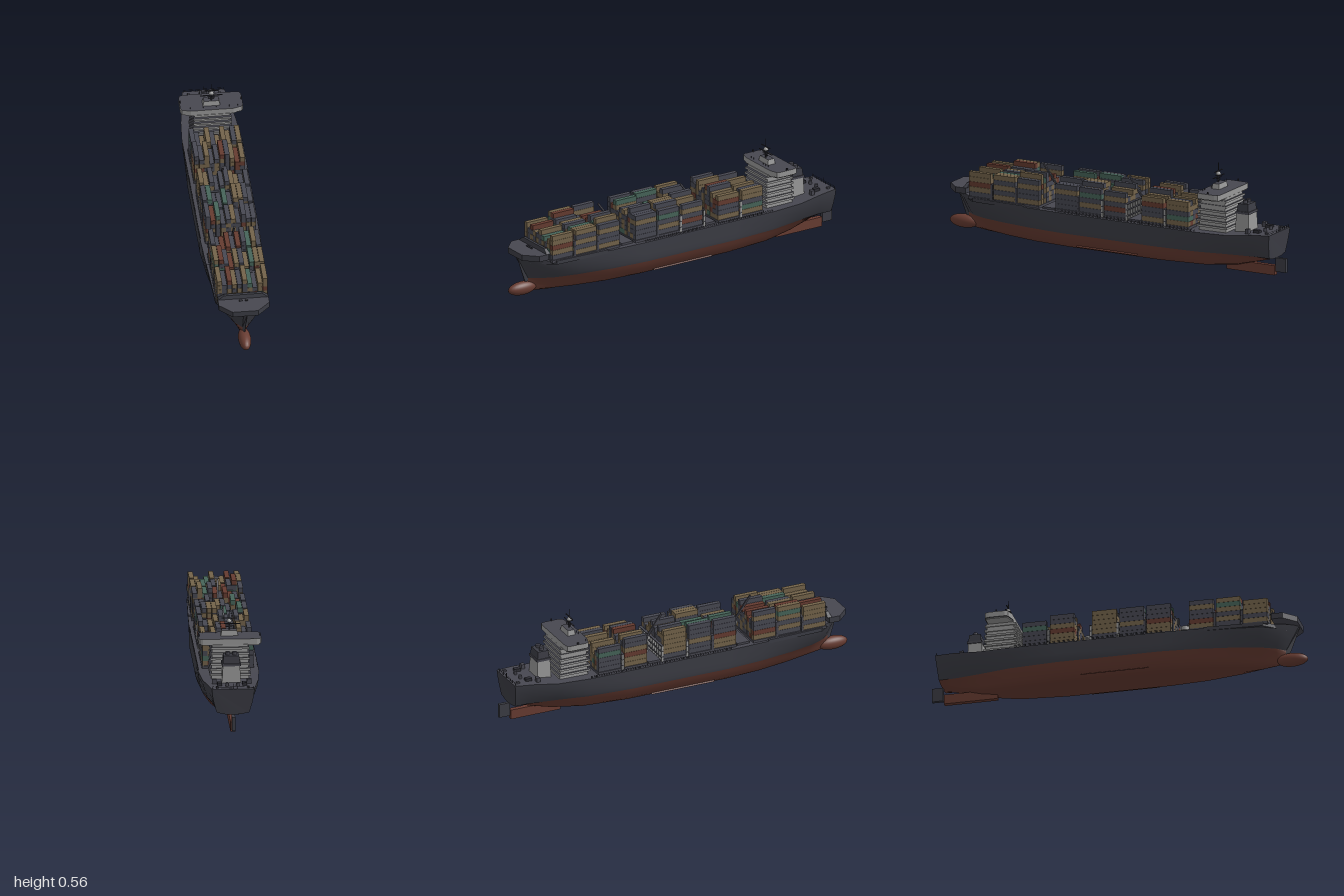
import * as THREE from 'three';
import { mergeGeometries } from 'three/addons/utils/BufferGeometryUtils.js';

const mat = (name, color, side = THREE.FrontSide) => {
  const m = new THREE.MeshStandardMaterial({ color, side });
  m.name = name;
  return m;
};

export function createModel() {
  const ship = new THREE.Group();
  ship.name = 'containerShip';
  const hullDark = mat('hullSlate', 0x3c3d45, THREE.DoubleSide);
  const hullRed = mat('antifoulingRed', 0x683c32, THREE.DoubleSide);
  const deckMat = mat('deckGrey', 0x474750);
  const white = mat('superstructureGrey', 0x989898);
  const black = mat('fittingBlack', 0x2e2e35);
  const cargo = { T: mat('cargoTan', 0x73634a), S: mat('cargoSlate', 0x474852),
    R: mat('cargoRust', 0x653b30), G: mat('cargoGreen', 0x466459) };
  // Box faces: grey walls with a dark top
  const roofed = [white, white, deckMat, white, white, white];

  const add = (name, geo, m, x = 0, y = 0, z = 0, parent = ship) => {
    const mesh = new THREE.Mesh(geo, m);
    mesh.name = name;
    mesh.position.set(x, y, z);
    parent.add(mesh);
    return mesh;
  };
  // Box given by its height range and its z range
  const block = (name, m, halfW, y0, y1, z0, z1, x = 0) =>
    add(name, new THREE.BoxGeometry(halfW * 2, y1 - y0, z1 - z0), m, x, (y0 + y1) / 2, (z0 + z1) / 2);
  // Box whose top is scaled inwards
  const taper = (name, m, halfW, y0, y1, z0, z1, sx, sz) => {
    const mesh = block(name, m, halfW, y0, y1, z0, z1);
    const p = mesh.geometry.attributes.position;
    for (let i = 0; i < p.count; i++) if (p.getY(i) > 0) p.setXYZ(i, p.getX(i) * sx, p.getY(i), p.getZ(i) * sz);
    mesh.geometry.computeVertexNormals();
    return mesh;
  };
  // Plan outline (half, mirrored in x) raised to a slab
  const slab = (name, mats, half, y0, y1) => {
    const pts = [...half, ...half.map(([x, z]) => [-x, z]).reverse()];
    const shape = new THREE.Shape(pts.map(([x, z]) => new THREE.Vector2(x, -z)));
    const geo = new THREE.ExtrudeGeometry(shape, { depth: y1 - y0, bevelEnabled: false });
    return add(name, geo.rotateX(-Math.PI / 2), mats, 0, y0, 0);
  };

  // Hull stations: z, top fullness, bottom fullness, keel height, deck height, rake
  const stations = [
    [-0.945, 0.70, 0.40, 0.094, 0.234, -0.013], [-0.86, 0.80, 0.32, 0.068, 0.230, 0],
    [-0.72, 0.92, 0.48, 0.030, 0.215, 0], [-0.55, 1, 0.80, 0.012, 0.213, 0],
    [-0.30, 1, 1, 0.008, 0.213, 0], [0.25, 1, 1, 0.008, 0.213, 0],
    [0.45, 0.96, 0.84, 0.008, 0.213, 0], [0.63, 0.90, 0.55, 0.012, 0.213, 0],
    [0.76, 0.80, 0.28, 0.018, 0.214, 0.02], [0.84, 0.50, 0.10, 0.026, 0.226, 0.045],
    [0.885, 0.06, 0.04, 0.034, 0.238, 0.07]];
  const wl = 0.105;
  const lower = [[0.154, wl], [0.146, 0.085], [0.134, 0.062], [0.118, 0.04], [0.092, 0.02], [0.02, 0.009], [0, 0.008]];
  const upper = [[0.157, 0.213], [0.157, 0.185], [0.157, 0.15], [0.157, 0.12], [0.154, wl]];
  const place = ([x, y], [z, top, bot, keel, deck, rake]) => {
    const s = THREE.MathUtils.smoothstep(y, 0.008, 0.213);
    const yy = y <= wl ? keel + (y - 0.008) / (wl - 0.008) * (wl - keel)
      : wl + (y - wl) / (0.213 - wl) * (deck - wl);
    return [x * (bot + (top - bot) * s), yy, z + rake * Math.max(0, (y - wl) / (0.213 - wl))];
  };
  const loft = (profile) => {
    const pos = [], idx = [], n = profile.length;
    stations.forEach((st, i) => profile.forEach((p, j) => {
      pos.push(...place(p, st));
      if (i < stations.length - 1 && j < n - 1) {
        const a = i * n + j;
        idx.push(a, a + n, a + 1, a + 1, a + n, a + n + 1);
      }
    }));
    const g = new THREE.BufferGeometry();
    g.setAttribute('position', new THREE.Float32BufferAttribute(pos, 3));
    g.setIndex(idx);
    g.computeVertexNormals();
    return g;
  };
  const flip = (pts) => pts.map(([x, y]) => [-x, y]).reverse();
  add('lowerHull', loft([...lower, ...flip(lower).slice(1)]), hullRed);
  add('leftTopside', loft(upper), hullDark);
  add('rightTopside', loft(flip(upper)), hullDark);
  add('mainDeck', loft([[-0.157, 0.213], [0.157, 0.213]]), deckMat);
  // Transom and stem closing faces
  const around = [...upper, ...lower.slice(1), ...flip(lower).slice(1), ...flip(upper).slice(1)];
  [stations[0], stations[stations.length - 1]].forEach((st, k) => {
    const ring = around.map((p) => place(p, st)), pos = [];
    for (let j = 1; j < ring.length - 1; j++) pos.push(...ring[0], ...(k ? ring[j + 1] : ring[j]), ...(k ? ring[j] : ring[j + 1]));
    const g = new THREE.BufferGeometry();
    g.setAttribute('position', new THREE.Float32BufferAttribute(pos, 3));
    g.computeVertexNormals();
    add(k ? 'stem' : 'transom', g, hullDark);
  });

  // Bulb, skeg, rudder and bilge keels
  add('bulbousBow', new THREE.SphereGeometry(1, 24, 16).scale(0.033, 0.036, 0.085), hullRed, 0, 0.053, 0.915);
  block('skeg', hullRed, 0.013, 0, 0.052, -0.935, -0.65);
  block('rudder', hullDark, 0.009, 0.02, 0.094, -1, -0.94);
  for (const s of [-1, 1]) {
    const keel = add('bilgeKeel', new THREE.BoxGeometry(0.016, 0.002, 0.36), hullRed, s * 0.118, 0.038, 0);
    keel.rotation.z = -s * 0.6;
  }

  // Forecastle platform, breakwater and the deck flare below
  slab('forecastle', [deckMat, hullDark], [[0.132, 0.835], [0.132, 0.895], [0.066, 0.96]], 0.235, 0.266);
  taper('breakwater', hullDark, 0.13, 0.266, 0.288, 0.825, 0.85, 0.76, 0.6);
  slab('foreDeckFlare', [deckMat, hullDark], [[0.15, 0.48], [0.138, 0.79], [0.05, 0.9]], 0.2, 0.22);
  for (const s of [-1, 1]) add('bowWinch', new THREE.CylinderGeometry(0.005, 0.005, 0.016, 12).rotateZ(Math.PI / 2), black, s * 0.015, 0.271, 0.87);

  // Cargo bays: z, tiers, colours of the top tier, colours down the left side
  const bays = [
    [0.75, 5, 'TSRTSTGSTT', 'TTRTS'], [0.605, 6, 'TRSRTSTGTT', 'TSTST'], [0.463, 6, 'SSRRSRSGTS', 'STSST'],
    [0.235, 6, 'SRGSSTSSSS', 'STSSS'], [0.093, 6, 'SGSSGSTTSS', 'SGSTS'], [-0.053, 6, 'TTSSSSTTSS', 'STSRS'],
    [-0.277, 6, 'SSTSSRSTRT', 'TRSST'], [-0.425, 5, 'SSTTSTTTST', 'TTSGT']];
  const caps = [6, 6, 6, 5, 5, 6, 6, 6, 6, 5];
  let seed = 11;
  const rnd = () => (seed = (seed * 16807) % 2147483647) / 2147483647;
  const piles = { T: [], S: [], R: [], G: [] };
  bays.forEach(([z, tall, tops, side], b) => {
    block('hatchCover', deckMat, 0.135, 0.211, 0.226, z - 0.066, z + 0.066);
    caps.forEach((cap, c) => {
      const full = c === 0 || c === 9 || (c + b) % 5 === 0;
      const h = Math.min(cap, full ? tall : Math.max(3, tall - Math.floor(rnd() * 2.7)));
      for (let t = 0; t < h; t++) {
        const r = rnd();
        const inner = r < 0.43 ? 'T' : r < 0.85 ? 'S' : r < 0.94 ? 'R' : 'G';
        const colour = c === 9 ? side[h - 1 - t] : t === h - 1 ? tops[c] : inner;
        piles[colour].push(new THREE.BoxGeometry(0.0248, 0.0256, 0.128)
          .translate((c - 4.5) * 0.0264, 0.2395 + t * 0.0265, z));
      }
    });
  });
  for (const k in piles) add('containers', mergeGeometries(piles[k]), cargo[k]);

  // Lashing bridges between the bays
  for (const z of [0.678, 0.534, 0.164, 0.02, -0.125, -0.351]) {
    const posts = [], rails = [];
    for (let i = -5; i <= 5; i++) posts.push(new THREE.BoxGeometry(0.005, 0.088, 0.012).translate(i * 0.0264, 0.257, 0));
    for (const y of [0.24, 0.272, 0.303]) rails.push(new THREE.BoxGeometry(0.272, 0.004, 0.013).translate(0, y, 0));
    add('lashingPosts', mergeGeometries(posts), z < 0.1 ? white : deckMat, 0, 0, z);
    add('lashingWalkways', mergeGeometries(rails), deckMat, 0, 0, z);
  }

  // Deck cranes with raised jibs
  for (const z of [0.345, -0.165]) {
    const crane = new THREE.Group();
    crane.name = 'deckCrane';
    crane.position.z = z;
    ship.add(crane);
    add('craneColumn', new THREE.CylinderGeometry(0.016, 0.02, 0.07, 16), white, 0, 0.247, 0, crane);
    add('craneHouse', new THREE.CylinderGeometry(0.021, 0.021, 0.022, 16), [white, deckMat, white], 0, 0.291, 0, crane);
    const jib = add('craneJib', new THREE.BoxGeometry(0.009, 0.009, 0.155), deckMat, 0, 0.357, 0.053, crane);
    jib.rotation.x = -0.93;
    add('craneBase', new THREE.BoxGeometry(0.25, 0.012, 0.07), deckMat, 0, 0.218, 0, crane);
  }

  // Accommodation tower with overhanging decks
  taper('accommodationTower', white, 0.098, 0.21, 0.395, -0.695, -0.535, 0.94, 0.88);
  for (let i = 0; i < 6; i++) {
    const y = 0.232 + i * 0.028, d = i * 0.0015;
    block('towerDeck', roofed, 0.106 - d, y, y + 0.011, -0.703 + d, -0.523 - d);
  }
  // Bridge wings, roof rails and wheelhouse top
  slab('bridge', [deckMat, white], [[0.14, -0.686], [0.157, -0.68], [0.163, -0.66], [0.163, -0.575], [0.157, -0.56], [0.11, -0.546]], 0.396, 0.425);
  slab('bridgeUnderside', white, [[0.15, -0.68], [0.156, -0.655], [0.156, -0.58], [0.15, -0.565], [0.108, -0.55]], 0.39, 0.396);
  const posts = [];
  for (let i = -6; i <= 6; i++) posts.push(new THREE.BoxGeometry(0.0008, 0.011, 0.0008).translate(i * 0.0225, 0.4305, -0.565));
  add('bridgeRailPosts', mergeGeometries(posts), black);
  for (const s of [-1, 1]) block('wingLight', black, 0.003, 0.425, 0.437, -0.625, -0.618, s * 0.159);
  taper('wheelhouseTop', roofed, 0.045, 0.425, 0.452, -0.625, -0.58, 0.87, 0.8);

  // Radar mast
  add('mast', new THREE.CylinderGeometry(0.0015, 0.004, 0.104, 8), black, 0, 0.503, -0.595);
  add('radome', new THREE.SphereGeometry(0.0135, 16, 8, 0, Math.PI * 2, 0, Math.PI / 2).scale(1, 1.2, 1), white, 0, 0.493, -0.595);
  add('radomeBase', new THREE.CylinderGeometry(0.0135, 0.009, 0.003, 16), black, 0, 0.4915, -0.595);
  for (const [w, y] of [[0.04, 0.512], [0.058, 0.482], [0.018, 0.474], [0.016, 0.465]])
    block('radarArm', black, w, y - 0.0015, y + 0.0015, -0.598, -0.592);
  block('radarCrossArm', black, 0.0015, 0.484, 0.487, -0.615, -0.575);

  // Funnel
  taper('funnelCasing', white, 0.05, 0.21, 0.315, -0.802, -0.722, 0.88, 0.9);
  block('funnelBand', deckMat, 0.049, 0.312, 0.325, -0.802, -0.725);
  taper('funnelTop', hullDark, 0.044, 0.325, 0.365, -0.797, -0.73, 0.92, 0.88);
  for (const s of [-1, 1]) add('exhaust', new THREE.CylinderGeometry(0.012, 0.012, 0.022, 14), deckMat, s * 0.018, 0.37, -0.765);

  // Mooring gear and staff at the stern
  for (const s of [-1, 1]) {
    block('mooringWinch', black, 0.012, 0.222, 0.245, -0.88, -0.845, s * 0.065);
    add('capstan', new THREE.CylinderGeometry(0.009, 0.009, 0.024, 12), deckMat, s * 0.028, 0.238, -0.89);
    block('ventBox', deckMat, 0.012, 0.215, 0.25, -0.83, -0.81, s * 0.09);
    block('sternBollard', deckMat, 0.006, 0.226, 0.242, -0.935, -0.92, s * 0.08);
  }
  block('sternStaff', black, 0.0015, 0.23, 0.262, -0.956, -0.953);

  // Deck-edge and stern rails
  const rails = [];
  for (const s of [-1, 1]) {
    for (const y of [0.219, 0.225]) rails.push(new THREE.BoxGeometry(0.001, 0.001, 0.8).translate(s * 0.155, y, -0.14));
    for (let i = 0; i <= 32; i++) rails.push(new THREE.BoxGeometry(0.001, 0.014, 0.001).translate(s * 0.155, 0.219, -0.54 + i * 0.025));
  }
  for (const y of [0.241, 0.248]) rails.push(new THREE.BoxGeometry(0.212, 0.001, 0.001).translate(0, y, -0.953));
  for (let i = -5; i <= 5; i++) rails.push(new THREE.BoxGeometry(0.001, 0.018, 0.001).translate(i * 0.0212, 0.24, -0.953));
  add('deckRails', mergeGeometries(rails), black);
  return ship;
}
